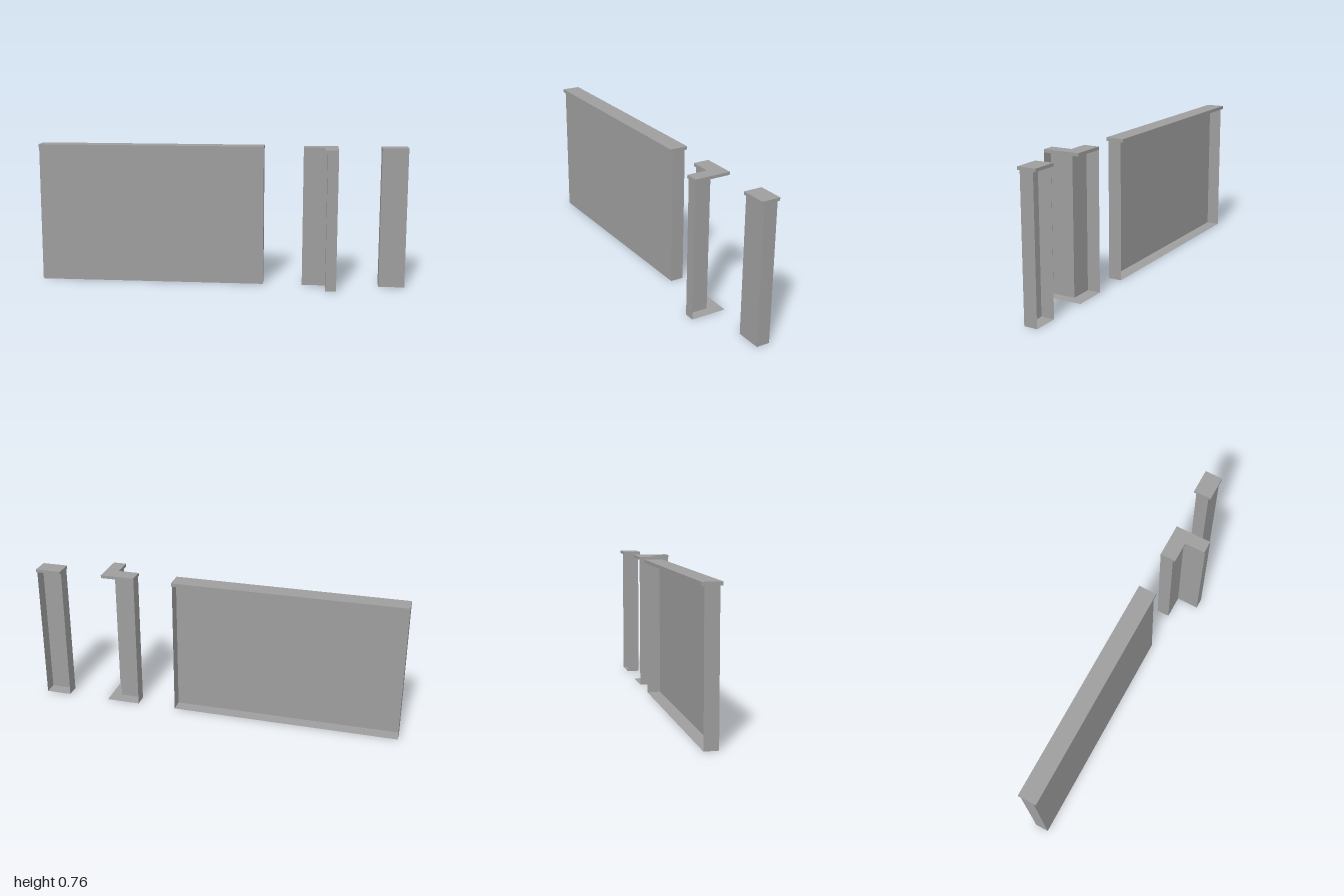
import * as THREE from 'three';

const WALL_HEIGHT = 0.74;
const COLOR = 0x9e9e9e;
const solid = new THREE.MeshStandardMaterial({ color: COLOR, flatShading: true });
const thin = new THREE.MeshStandardMaterial({ color: COLOR, flatShading: true, side: THREE.DoubleSide });

// Plan outline given as [x, z] pairs; shape y becomes -z once laid flat.
const planShape = (pts) => new THREE.Shape(pts.map(([x, z]) => new THREE.Vector2(x, -z)));

function addMesh(parent, name, geometry, material) {
  const mesh = new THREE.Mesh(geometry, material);
  mesh.name = name;
  parent.add(mesh);
  return mesh;
}

// One open-backed shell: thin walls along an open path, a floor sheet and a top slab.
function createUnit(name, wallPath, floorOutline, slabOutline, topY) {
  const unit = new THREE.Group();
  unit.name = name;

  for (let i = 0; i < wallPath.length - 1; i++) {
    const [x0, z0] = wallPath[i];
    const [x1, z1] = wallPath[i + 1];
    const length = Math.hypot(x1 - x0, z1 - z0);
    const wall = addMesh(unit, `wall${i + 1}`, new THREE.PlaneGeometry(length, WALL_HEIGHT), thin);
    wall.position.set((x0 + x1) / 2, WALL_HEIGHT / 2, (z0 + z1) / 2);
    wall.rotation.y = Math.atan2(z0 - z1, x1 - x0);
  }

  const floor = new THREE.ShapeGeometry(planShape(floorOutline)).rotateX(-Math.PI / 2);
  addMesh(unit, 'floor', floor, thin);

  const slab = new THREE.ExtrudeGeometry(planShape(slabOutline), {
    depth: topY - WALL_HEIGHT, bevelEnabled: false,
  }).rotateX(-Math.PI / 2).translate(0, WALL_HEIGHT, 0);
  addMesh(unit, 'topSlab', slab, solid);
  return unit;
}

// Straight panel: its slab overhangs front and back.
function createStraightUnit(name, x0, x1, topY) {
  const path = [[x0, -0.091], [x0, -0.019], [x1, -0.019], [x1, -0.091]];
  const slab = [[x0, -0.105], [x0, -0.006], [x1, -0.006], [x1, -0.105]];
  return createUnit(name, path, path, slab, topY);
}

// L-shaped inside corner: its slab overhangs the inner faces, the outer faces are open.
function createCornerUnit() {
  const path = [[0.446, -0.091], [0.446, -0.019], [0.573, -0.019], [0.573, 0.106], [0.63, 0.106]];
  const slab = [
    [0.446, -0.091], [0.446, -0.006], [0.56, -0.006],
    [0.56, 0.106], [0.63, 0.106], [0.63, -0.091],
  ];
  return createUnit('cornerPanel', path, [...path, [0.63, -0.091]], slab, 0.756);
}

export function createModel() {
  const model = new THREE.Group();
  model.name = 'panelSet';
  model.add(
    createStraightUnit('widePanel', -1, 0.233, 0.758),
    createCornerUnit(),
    createStraightUnit('narrowPanel', 0.861, 1, 0.756),
  );
  return model;
}
